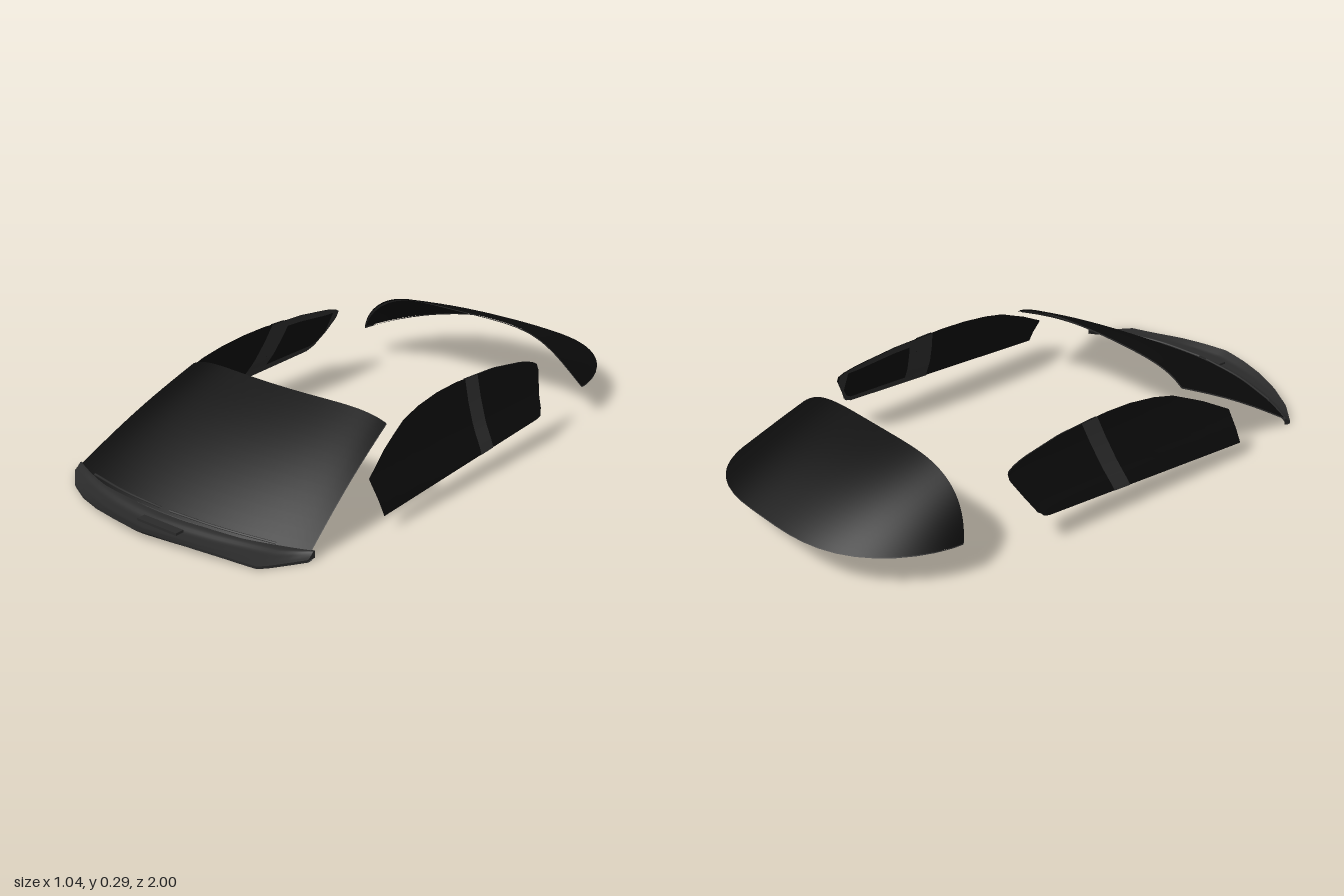
import * as THREE from 'three';

const glass = new THREE.MeshStandardMaterial({ color: 0x0b0b0b, side: THREE.DoubleSide });
const trim = new THREE.MeshStandardMaterial({ color: 0x2a2a2a, side: THREE.DoubleSide });

// Piecewise linear lookup through [input, output] pairs in rising order
function lookup(pairs, t) {
  if (t <= pairs[0][0]) return pairs[0][1];
  for (let i = 1; i < pairs.length; i++) {
    const [a, p] = pairs[i - 1], [b, q] = pairs[i];
    if (t <= b) return p + (q - p) * (t - a) / (b - a);
  }
  return pairs[pairs.length - 1][1];
}

// Smooth sheet from fn(u, v) -> [x, y, z], u and v in 0..1
function sheet(name, fn, nu, nv, material, flip = false) {
  const pos = [], index = [];
  for (let j = 0; j <= nv; j++)
    for (let i = 0; i <= nu; i++) pos.push(...fn(i / nu, j / nv));
  for (let j = 0; j < nv; j++)
    for (let i = 0; i < nu; i++) {
      const a = j * (nu + 1) + i, b = a + 1, c = a + nu + 1, d = c + 1;
      if (flip) index.push(a, c, b, b, c, d);
      else index.push(a, b, c, b, d, c);
    }
  const geo = new THREE.BufferGeometry();
  geo.setAttribute('position', new THREE.Float32BufferAttribute(pos, 3));
  geo.setIndex(index);
  geo.computeVertexNormals();
  const mesh = new THREE.Mesh(geo, material);
  mesh.name = name;
  return mesh;
}

// Band running around the edge of a sheet, just below it
function border(name, fn, width, offset, n, flip = false) {
  const path = [[0, 0], [1, 0], [1, 1], [0, 1], [0, 0]];
  return sheet(name, (t, w) => {
    const k = Math.min(3, Math.floor(t * 4)), f = t * 4 - k;
    const u = path[k][0] + (path[k + 1][0] - path[k][0]) * f;
    const v = path[k][1] + (path[k + 1][1] - path[k][1]) * f;
    const p = fn(0.5 + (u - 0.5) * (1 - 2 * width[0] * w), 0.5 + (v - 0.5) * (1 - 2 * width[1] * w));
    return p.map((c, i) => c + offset[i]);
  }, n * 4, 2, trim, flip);
}

// Windscreen: curved lower edge (v = 0) to arched upper edge (v = 1)
function windscreenPoint(a, v) {
  const u = 2 * a - 1, crown = 1 - u * u;
  const low = [0.478 * u, 0.018 + 0.02 * crown, 0.785 + 0.095 * crown];
  const high = [0.4 * u, 0.255 + 0.033 * (1 - u ** 6), 0.34 + 0.036 * crown];
  const p = low.map((c, i) => c + (high[i] - c) * v);
  p[1] += 0.012 * Math.sin(Math.PI * v);
  return p;
}

// Rear window: columns between a straight front edge and a rounded rear edge
function rearPoint(a, v) {
  const u = Math.sin((a - 0.5) * Math.PI), r = Math.abs(u);
  const zFront = -0.58 - 0.05 * r ** 10;
  const zBack = -0.63 - 0.37 * Math.max(0, 1 - r ** 3) ** 0.6;
  const yFront = 0.28 - 0.18 * r ** 4.7, yBack = 0.12 - 0.02 * u * u;
  return [0.475 * u, yFront + (yBack - yFront) * v + 0.01 * Math.sin(Math.PI * v) * (1 - u * u),
    zFront + (zBack - zFront) * v];
}

// Side window outline in z, and the inward lean of the glass with height
const sideTop = [[-0.42, 0.23], [-0.405, 0.24], [-0.35, 0.255], [-0.2, 0.276], [0, 0.285], [0.1, 0.282],
  [0.2, 0.27], [0.28, 0.252], [0.4, 0.2], [0.5, 0.147]];
const sideBottom = [[-0.42, 0.212], [-0.355, 0.1], [-0.335, 0.086], [0.5, 0.046]];
const lean = y => lookup([[0.04, 0.525], [0.09, 0.5], [0.145, 0.465], [0.22, 0.43], [0.285, 0.405]], y);

function sidePoint(z, v) {
  const y0 = lookup(sideBottom, z), y = y0 + (lookup(sideTop, z) - y0) * v;
  return [lean(y), y, z];
}

function sideWindow(s) {
  const group = new THREE.Group();
  group.name = s > 0 ? 'leftSideWindow' : 'rightSideWindow';
  const mirror = p => [p[0] * s, p[1], p[2]];
  const flip = s > 0;
  group.add(sheet('sideGlass', (u, v) => mirror(sidePoint(-0.42 + 0.92 * u, v)), 46, 10, glass, flip));
  // Slanted door pillar over the glass
  group.add(sheet('pillar', (u, v) => {
    const p = sidePoint(-0.06 + 0.065 * u - 0.048 * v, v);
    return mirror([p[0] + 0.003, p[1] + 0.001, p[2]]);
  }, 4, 10, trim, flip));
  // Inner face of the pillar and frame around the rear pane
  group.add(sheet('innerPillar', (u, v) => {
    const p = sidePoint(-0.06 + 0.065 * u - 0.048 * v, v);
    return mirror([p[0] - 0.004, p[1], p[2]]);
  }, 4, 10, trim, !flip));
  group.add(border('rearPaneFrame', (u, v) =>
    mirror(sidePoint(-0.415 + (0.355 - 0.048 * v) * u, v)), [0.1, 0.13], [-0.004 * s, 0, 0], 12, !flip));
  return group;
}

// Cowl below the windscreen: outline of its front edge
const cowlFront = [[-0.485, 0.795], [-0.4, 0.87], [-0.3, 0.925], [-0.2, 0.962], [-0.1, 0.985], [0, 1],
  [0.1, 0.985], [0.2, 0.968], [0.3, 0.943], [0.41, 0.918], [0.485, 0.795]];

function cowlPoint(a, v) {
  const u = 2 * a - 1, crown = 1 - u * u, x = 0.485 * u;
  const back = 0.765 + 0.095 * crown, front = lookup(cowlFront, x);
  const y = lookup([[0, 0.026 + 0.01 * crown], [0.25, 0.026 + 0.006 * crown], [0.45, 0.02],
    [0.75, 0.012 + 0.008 * crown], [1, 0.008 + 0.028 * crown ** 2]], v);
  return [x, y, back + (front - back) * v];
}

export function createModel() {
  const model = new THREE.Group();
  model.name = 'carGlass';

  model.add(sheet('windscreen', windscreenPoint, 40, 14, glass));
  model.add(border('windscreenBorder', windscreenPoint, [0.045, 0.07], [0, -0.004, -0.002], 24, true));
  // Dark patch behind the mirror mount
  model.add(sheet('mirrorPatch', (u, v) => {
    const p = windscreenPoint(0.5 + (u - 0.5) * (0.22 - 0.06 * (1 - v)), 0.85 + 0.1 * v);
    return [p[0], p[1] - 0.004, p[2] - 0.002];
  }, 8, 3, trim, true));

  model.add(sheet('rearWindow', rearPoint, 56, 16, glass, true));
  model.add(border('rearWindowBorder', rearPoint, [0.06, 0.06], [0, -0.004, 0], 24));

  for (const s of [1, -1]) model.add(sideWindow(s));

  // Cowl top, underside and front lip
  model.add(sheet('cowl', cowlPoint, 48, 16, trim, true));
  model.add(sheet('cowlUnderside', (u, v) => {
    const p = cowlPoint(u, v);
    return [p[0], Math.max(0, p[1] - 0.008 - 0.014 * Math.sin(Math.PI * v)), p[2]];
  }, 48, 8, trim));
  for (const [name, v] of [['cowlLip', 1], ['cowlRearEdge', 0]])
    model.add(sheet(name, (u, w) => {
      const p = cowlPoint(u, v);
      return [p[0], Math.max(0, p[1] - 0.008 * w), p[2]];
    }, 48, 1, trim, v === 1));
  for (const s of [1, -1])
    model.add(sheet('cowlEnd', (u, w) => {
      const p = cowlPoint(s > 0 ? 1 : 0, u);
      return [p[0], p[1] * (1 - w) + 0.004 * w, p[2]];
    }, 6, 1, trim, s > 0));

  // Small vent cover in the cowl
  const vent = new THREE.Mesh(new THREE.BoxGeometry(0.16, 0.008, 0.03), trim);
  vent.name = 'ventCover';
  vent.position.set(0.03, 0.024, 0.925);
  model.add(vent);

  // Wiper blades resting along the glass
  for (const [from, to] of [[0.12, 0.48], [0.52, 0.9]]) {
    const points = [0, 0.5, 1].map(t => {
      const p = windscreenPoint(from + (to - from) * t, 0.02);
      return new THREE.Vector3(p[0], p[1] + 0.004, p[2] + 0.004);
    });
    const wiper = new THREE.Mesh(new THREE.TubeGeometry(new THREE.CatmullRomCurve3(points), 16, 0.004, 6), trim);
    wiper.name = 'wiperBlade';
    model.add(wiper);
  }
  return model;
}
